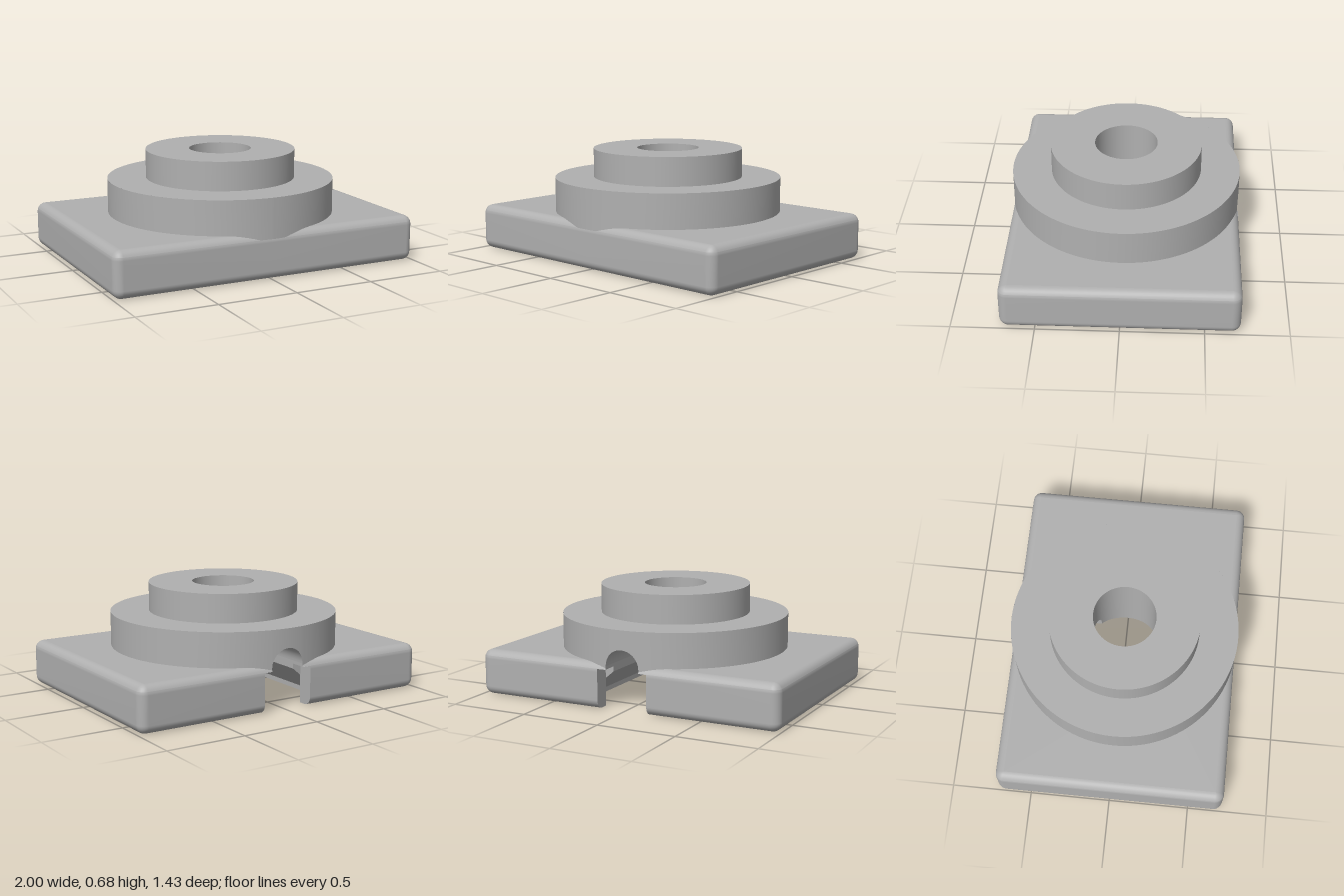
import * as THREE from 'three';

// Main dimensions
const W = 1, D = 0.712, H = 0.285, EDGE = 0.055;         // slab half width, half depth, height, edge radius
const R_LOW = 0.713, R_UP = 0.47, R_BORE = 0.195;        // collar and bore radii
const Y_LOW = 0.5, Y_UP = 0.68;                          // collar tops
const SLOT = 0.165, SLOT_TOP = 0.25;                     // rear slot half width and top
const R_CH = 0.11, Y_CH = 0.27;                          // round channel along z
const PX = 0.335, PZ0 = -0.61, PZ1 = 0.375, LIP = 0.03;  // pocket below
const gable = (x) => LIP + (PX - x) * 0.84;

const ARCH = 14;
const phi = (k) => (k / ARCH) * Math.PI / 2;

// Smooth surface from a grid of points
function grid(ni, nj, point) {
  const pos = [], idx = [];
  for (let i = 0; i < ni; i++) for (let j = 0; j < nj; j++) pos.push(...point(i, j));
  for (let i = 0; i < ni - 1; i++) for (let j = 0; j < nj - 1; j++) {
    const a = i * nj + j, b = a + nj;
    idx.push(a, b, a + 1, b, b + 1, a + 1);
  }
  const g = new THREE.BufferGeometry();
  g.setAttribute('position', new THREE.Float32BufferAttribute(pos, 3));
  g.setIndex(idx);
  g.computeVertexNormals();
  return g;
}

// Filled outline, each 2D point placed in space by a rule
function face(points, place, flip = false) {
  const g = new THREE.ShapeGeometry(new THREE.Shape(points.map((p) => new THREE.Vector2(...p))));
  const pos = g.attributes.position;
  for (let i = 0; i < pos.count; i++) pos.setXYZ(i, ...place(pos.getX(i), pos.getY(i)));
  if (flip) g.index.array.reverse();
  g.computeVertexNormals();
  return g;
}

// Half circle from back to front; the first points span the channel arch
function halfCircle(R, baseY) {
  const out = [];
  for (let k = 0; k <= ARCH; k++) {
    const x = R_CH * Math.sin(phi(k));
    out.push({ x, z: -Math.sqrt(R * R - x * x), y: Y_CH + R_CH * Math.cos(phi(k)) });
  }
  const t0 = Math.asin(R_CH / R), n = 60;
  for (let k = 0; k <= n; k++) {
    const t = t0 + (Math.PI - t0) * k / n, x = R * Math.sin(t);
    out.push({ x, z: -R * Math.cos(t), y: baseY(x) });
  }
  return out;
}

// Rounded slab profile: height and inset
function slabProfile() {
  const rows = [], n = 8;
  for (let k = 0; k <= n; k++) {
    const a = phi(k * ARCH / n);
    rows.push([EDGE * (1 - Math.cos(a)), EDGE * (1 - Math.sin(a))]);
  }
  for (let k = 0; k <= n; k++) {
    const a = phi(k * ARCH / n);
    rows.push([H - EDGE + EDGE * Math.sin(a), EDGE * (1 - Math.cos(a))]);
  }
  return rows;
}

// Outer skin of half the slab, open at the rear slot
function slabSkin() {
  const rows = [];
  for (const [y, inset] of slabProfile()) rows.push({ y, inset, gap: y < SLOT_TOP ? SLOT : R_CH });
  const cut = rows.findIndex((r) => r.gap === R_CH);
  const inset = EDGE - Math.sqrt(EDGE ** 2 - (SLOT_TOP - H + EDGE) ** 2);
  rows.splice(cut, 0, { y: SLOT_TOP, inset, gap: SLOT }, { y: SLOT_TOP, inset, gap: R_CH });
  const n = 6;
  const rings = rows.map(({ y, inset, gap }) => {
    const r = EDGE - inset, ring = [[gap, y, -D + inset]];
    for (const [cz, a0] of [[-D + EDGE, -Math.PI / 2], [D - EDGE, 0]])
      for (let k = 0; k <= n; k++) {
        const a = a0 + (k / n) * Math.PI / 2;
        ring.push([W - EDGE + r * Math.cos(a), y, cz + r * Math.sin(a)]);
      }
    ring.push([0, y, D - inset]);
    return ring;
  });
  return grid(rings.length, rings[0].length, (i, j) => rings[i][j]);
}

export function createModel() {
  const grey = new THREE.MeshStandardMaterial({ color: 0xb0b0b0, side: THREE.DoubleSide });
  grey.name = 'grey';
  const model = new THREE.Group();
  model.name = 'flangedBase';
  const half = new THREE.Group();
  const add = (parent, name, geometry) => {
    const m = new THREE.Mesh(geometry, grey);
    m.name = name;
    parent.add(m);
    return m;
  };
  const atY = (y) => (x, z) => [x, y, z];
  const atZ = (z) => (x, y) => [x, y, z];
  const atX = (x) => (z, y) => [x, y, z];
  const ex = W - EDGE, ez = D - EDGE;

  // Slab
  add(half, 'slabSkin', slabSkin());
  add(half, 'slabBottom', face([[0, ez], [ex, ez], [ex, -ez], [SLOT, -ez], [SLOT, PZ0],
    [PX, PZ0], [PX, PZ1], [0, PZ1]], atY(0)));
  add(half, 'slabTop', face([[0, ez], [ex, ez], [ex, -ez], [R_CH, -ez], [R_CH, -0.6],
    [0.25, -0.6], [0.25, 0.25], [0, 0.25]], atY(H), true));

  // Lower collar wall and bore
  const rim = halfCircle(R_LOW, () => SLOT_TOP);
  add(half, 'lowerCollarWall', grid(2, rim.length, (i, j) => [rim[j].x, i ? Y_LOW : rim[j].y, rim[j].z]));
  const bore = halfCircle(R_BORE, gable);
  add(half, 'boreWall', grid(bore.length, 2, (i, j) => [bore[i].x, j ? Y_UP : bore[i].y, bore[i].z]));

  // Pocket with a gabled ceiling
  const boreEdge = bore.slice(ARCH + 1).map((p) => [p.x, p.z]);
  add(half, 'pocketCeiling', face([[R_CH, PZ0], ...boreEdge, [0, PZ1], [PX, PZ1], [PX, PZ0]],
    (x, z) => [x, gable(x), z]));
  add(half, 'pocketSide', face([[PZ0, 0], [PZ1, 0], [PZ1, LIP], [PZ0, LIP]], atX(PX)));
  add(half, 'pocketFrontWall', face([[0, 0], [PX, 0], [PX, LIP], [0, gable(0)]], atZ(PZ1), true));
  add(half, 'pocketRearWall', face([[SLOT, 0], [PX, 0], [PX, LIP], [SLOT, gable(SLOT)]], atZ(PZ0)));

  // Rear slot
  const edge = slabProfile().filter(([y]) => y < SLOT_TOP).map(([y, inset]) => [-D + inset, y]);
  add(half, 'slotSide', face([...edge, [-D, SLOT_TOP], [PZ0, SLOT_TOP], [PZ0, 0]], atX(SLOT)));
  add(half, 'slotLedge', face([[R_CH, -D], [SLOT, -D], [SLOT, PZ0], [R_CH, PZ0]], atY(SLOT_TOP)));
  add(half, 'slotEnd', face([[R_CH, gable(R_CH)], [SLOT, gable(SLOT)], [SLOT, SLOT_TOP],
    [R_CH, SLOT_TOP]], atZ(PZ0), true));

  // Round channel from the back to the bore
  add(half, 'channelArch', grid(2, ARCH + 1, (i, j) => {
    const p = (i ? bore : rim)[ARCH - j];
    return [p.x, p.y, p.z];
  }));
  const zEnd = bore[ARCH].z, zBack = rim[ARCH].z;
  add(half, 'channelSide', face([[zBack, Y_CH], [zBack, SLOT_TOP], [PZ0, SLOT_TOP],
    [PZ0, gable(R_CH)], [zEnd, gable(R_CH)], [zEnd, Y_CH]], atX(R_CH)));

  // Mirror the half
  half.name = 'leftHalf';
  const other = half.clone();
  other.name = 'rightHalf';
  other.scale.x = -1;
  model.add(half, other);

  // Collar tops and upper collar
  for (const [name, inner, outer, y] of [['lowerCollarTop', R_UP, R_LOW, Y_LOW], ['upperCollarTop', R_BORE, R_UP, Y_UP]])
    add(model, name, new THREE.RingGeometry(inner, outer, 128).rotateX(-Math.PI / 2).translate(0, y, 0));
  add(model, 'upperCollarWall', new THREE.CylinderGeometry(R_UP, R_UP, Y_UP - Y_LOW, 128, 1, true))
    .position.y = (Y_UP + Y_LOW) / 2;
  return model;
}
